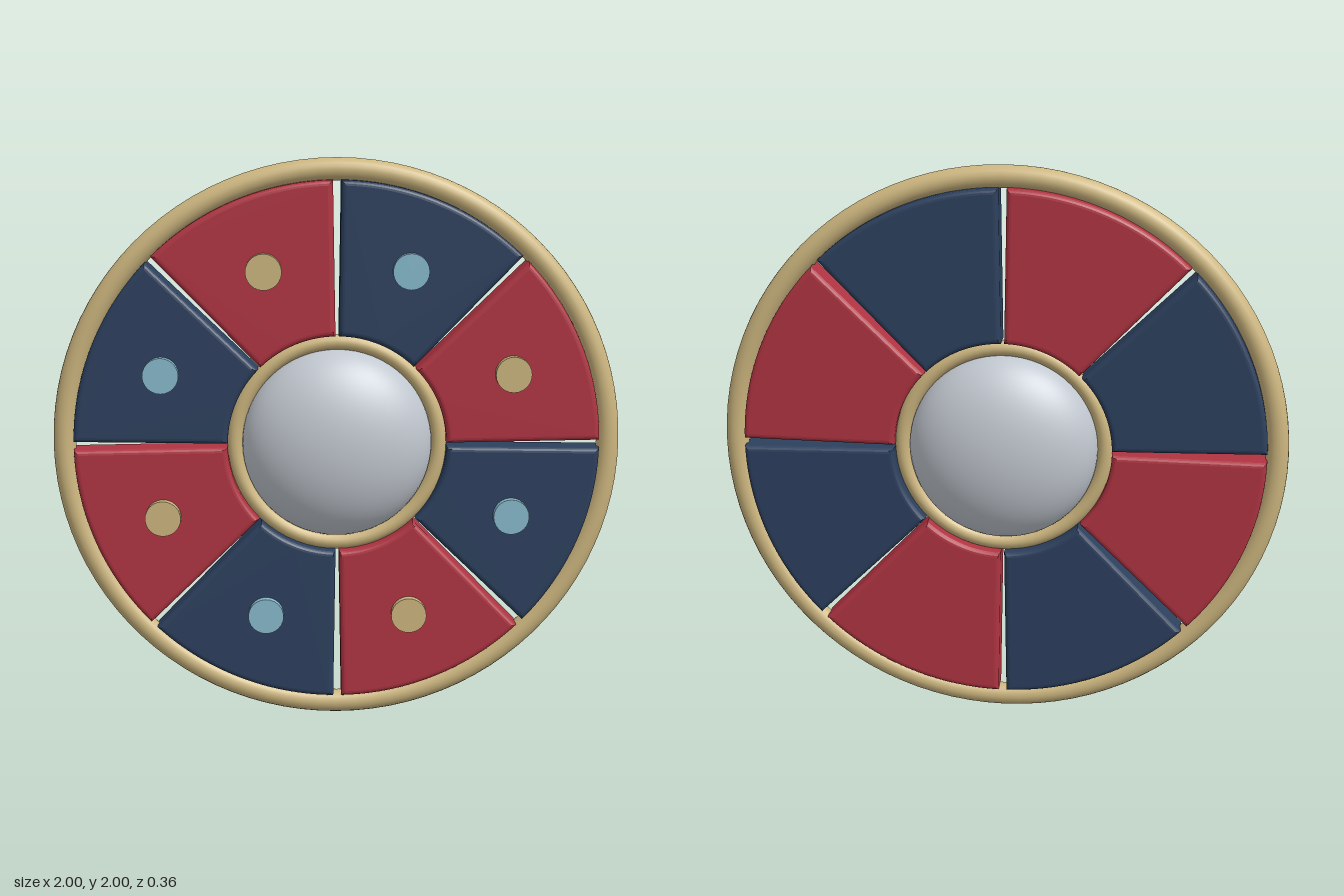
import * as THREE from 'three';

const mat = (name, color) => {
  const m = new THREE.MeshStandardMaterial({ color });
  m.name = name;
  return m;
};

export function createModel() {
  const gold = mat('gold', 0xcdb67f);
  const red = mat('red', 0xb03442);
  const navy = mat('navy', 0x2c405e);
  const paleBlue = mat('paleBlue', 0x87bacd);
  const silver = mat('silver', 0xc2c8d0);

  const model = new THREE.Group();
  model.name = 'roundShield';
  const wheel = new THREE.Group();
  wheel.name = 'shieldBody';
  wheel.position.y = 1;
  model.add(wheel);

  const add = (name, geometry, material) => {
    const mesh = new THREE.Mesh(geometry, material);
    mesh.name = name;
    wheel.add(mesh);
    return mesh;
  };

  // Rims and central dome
  add('outerRim', new THREE.TorusGeometry(0.96, 0.04, 20, 96), gold);
  add('hubRing', new THREE.TorusGeometry(0.36, 0.028, 16, 64), gold);
  add('dome', new THREE.SphereGeometry(0.335, 48, 32), silver).scale.z = 0.18 / 0.335;

  // One wedge panel with rounded edges, spanning an eighth of the disc
  const step = Math.PI / 4;
  const gap = 0.0155;
  const bevel = 0.018;
  const wedge = new THREE.Shape();
  wedge.absarc(0, 0, 0.925, gap, step - gap, false);
  wedge.absarc(0, 0, 0.385, step - gap, gap, true);
  const panelGeometry = new THREE.ExtrudeGeometry(wedge, {
    depth: 0.12 - 2 * bevel,
    curveSegments: 20,
    bevelSize: bevel,
    bevelThickness: bevel,
    bevelOffset: -bevel,
    bevelSegments: 4,
  });
  panelGeometry.translate(0, 0, -0.06 + bevel);

  // Round stud on the front of each panel
  const studGeometry = new THREE.CylinderGeometry(0.063, 0.063, 0.05, 24);
  studGeometry.rotateX(Math.PI / 2);

  for (let i = 0; i < 8; i++) {
    const even = i % 2 === 0;
    add('panel' + (i + 1), panelGeometry, even ? red : navy).rotation.z = i * step;
    const a = (i + 0.5) * step;
    add('stud' + (i + 1), studGeometry, even ? gold : paleBlue)
      .position.set(0.665 * Math.cos(a), 0.665 * Math.sin(a), 0.065);
  }
  return model;
}
